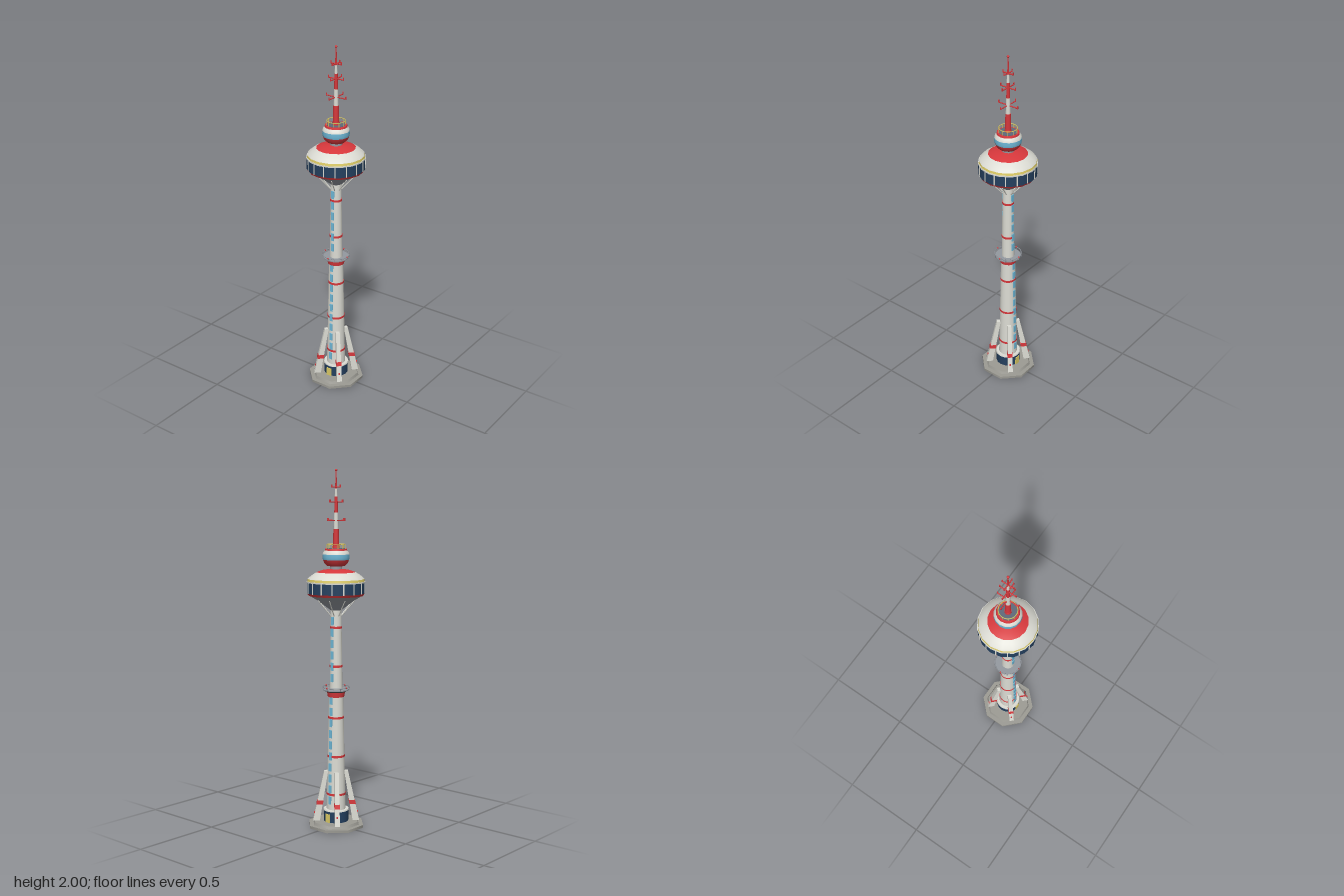
import * as THREE from 'three';

const mat = (name, color) => {
  const m = new THREE.MeshStandardMaterial({ color });
  m.name = name;
  return m;
};

export function createModel() {
  const white = mat('offWhite', 0xdcdcd4), red = mat('signalRed', 0xd8383c);
  const navy = mat('navyGlass', 0x24405f), blue = mat('skyBlue', 0x6fb9d8);
  const yellow = mat('paleYellow', 0xdccb66), grey = mat('steelGrey', 0x9499a0);
  const dark = mat('darkGrey', 0x55585c), slate = mat('slateDeck', 0x5f6a7a);
  const concrete = mat('concrete', 0x9c9b94);

  const model = new THREE.Group();
  model.name = 'observationTower';

  const add = (name, geo, material, parent = model) => {
    const m = new THREE.Mesh(geo, material);
    m.name = name;
    parent.add(m);
    return m;
  };
  // Upright frustum between two heights
  const drum = (name, r0, r1, y0, y1, material, seg = 16, parent = model) => {
    const m = add(name, new THREE.CylinderGeometry(r1, r0, y1 - y0, seg), material, parent);
    m.position.y = (y0 + y1) / 2;
    return m;
  };
  const lathe = (name, pts, material, seg = 16) =>
    add(name, new THREE.LatheGeometry(pts.map(([r, y]) => new THREE.Vector2(r, y)), seg), material);
  // Thin round bar between two points
  const bar = (name, a, b, r, material, parent = model) => {
    const d = b.clone().sub(a);
    const m = add(name, new THREE.CylinderGeometry(r, r, d.length(), 6), material, parent);
    m.position.copy(a).add(b).multiplyScalar(0.5);
    m.quaternion.setFromUnitVectors(new THREE.Vector3(0, 1, 0), d.normalize());
    return m;
  };
  const polar = (r, y, a) => new THREE.Vector3(r * Math.sin(a), y, r * Math.cos(a));
  const railing = (name, r, y0, y1, count, material) => {
    const g = new THREE.Group();
    g.name = name;
    model.add(g);
    const top = add('handrail', new THREE.TorusGeometry(r, 0.0025, 5, 24), material, g);
    top.rotation.x = Math.PI / 2;
    top.position.y = y1;
    for (let i = 0; i < count; i++) {
      const a = (i / count) * Math.PI * 2;
      bar('railPost', polar(r, y0, a), polar(r, y1, a), 0.002, material, g);
    }
  };

  // Octagonal stepped base
  drum('basePlate', 0.162, 0.162, 0, 0.015, concrete, 8).rotation.y = Math.PI / 8;
  drum('baseStep', 0.137, 0.13, 0.015, 0.03, concrete, 8).rotation.y = Math.PI / 8;

  // Entrance hall with a door on each side
  drum('entranceHall', 0.07, 0.07, 0.03, 0.093, navy);
  drum('entranceRoof', 0.073, 0.071, 0.093, 0.1, white);
  for (const s of [-1, 1]) {
    add('door', new THREE.BoxGeometry(0.009, 0.05, 0.03), yellow).position.set(s * 0.069, 0.053, 0);
  }

  // Tapered shaft
  const shaftR = y => (y < 0.78 ? 0.056 - (y / 0.78) * 0.016 : 0.036 - ((y - 0.78) / 0.46) * 0.006);
  drum('lowerShaft', shaftR(0.03), shaftR(0.779), 0.03, 0.78, white);
  drum('upperShaft', shaftR(0.78), shaftR(1.25), 0.78, 1.25, white);
  for (const y of [0.188, 0.407, 0.628, 0.918, 1.135]) {
    drum('shaftBand', shaftR(y) + 0.002, shaftR(y) + 0.002, y - 0.006, y + 0.006, red);
  }
  // Columns of lift windows on both sides
  for (let i = 0; i < 17; i++) {
    const y = 0.155 + i * 0.0635;
    if (y > 0.73 && y < 0.82) continue;
    for (const s of [-1, 1]) {
      add('liftWindow', new THREE.BoxGeometry(0.008, 0.045, 0.018), blue).position.set(s * (shaftR(y) - 0.001), y, 0);
    }
  }

  // Leaning buttress legs on the diagonals
  const legGeo = (y0, y1, grow) => {
    const g = new THREE.BoxGeometry(1, 1, 1);
    const p = g.attributes.position;
    for (let i = 0; i < p.count; i++) {
      const y = p.getY(i) > 0 ? y1 : y0, t = (y - 0.03) / 0.29;
      const width = 0.028 - 0.006 * t + grow, depth = 0.038 - 0.016 * t + grow;
      p.setXYZ(i, p.getX(i) * width, y, 0.112 - 0.056 * t + p.getZ(i) * depth);
    }
    g.computeVertexNormals();
    return g;
  };
  for (let i = 0; i < 4; i++) {
    const leg = new THREE.Group();
    leg.name = 'buttress';
    leg.rotation.y = Math.PI / 4 + (i * Math.PI) / 2;
    model.add(leg);
    add('leg', legGeo(0.03, 0.32, 0), white, leg);
    add('legBand', legGeo(0.125, 0.148, 0.004), red, leg);
    add('legLamp', new THREE.BoxGeometry(0.009, 0.009, 0.006), red, leg).position.set(0, 0.078, 0.122);
  }

  // Mid-height service platform
  drum('platformCollar', 0.046, 0.051, 0.745, 0.775, red);
  drum('platformUnderside', 0.055, 0.07, 0.773, 0.782, dark);
  drum('platformDeck', 0.073, 0.073, 0.782, 0.788, grey);
  railing('platformRailing', 0.076, 0.784, 0.8, 12, grey);
  for (let i = 0; i < 4; i++) {
    add('platformLamp', new THREE.SphereGeometry(0.005, 8, 6), red).position.copy(polar(0.076, 0.8, (i * Math.PI) / 2));
  }

  // Main pod: underside, glazing, roof
  lathe('podUnderside', [[0.03, 1.23], [0.05, 1.245], [0.1, 1.283], [0.15, 1.313]], grey);
  drum('podLowerRing', 0.152, 0.16, 1.311, 1.324, red);
  drum('podGlazing', 0.161, 0.161, 1.324, 1.383, navy);
  drum('podSill', 0.163, 0.163, 1.383, 1.39, white);
  drum('podYellowRing', 0.159, 0.156, 1.39, 1.403, yellow);
  lathe('podRoof', [[0.157, 1.403], [0.147, 1.414], [0.128, 1.428], [0.108, 1.44]], white);
  lathe('podRoofCap', [[0.108, 1.44], [0.075, 1.452], [0.03, 1.458]], red);
  for (let i = 0; i < 16; i++) {
    const a = ((i + 0.5) / 16) * Math.PI * 2;
    const m = add('mullion', new THREE.BoxGeometry(0.006, 0.059, 0.006), white);
    m.position.copy(polar(0.158, 1.3535, a));
    m.rotation.y = a;
  }
  // Struts bracing the pod
  for (let i = 0; i < 8; i++) {
    const a = ((i + 0.5) / 8) * Math.PI * 2;
    bar('podStrut', polar(0.032, 1.2, a), polar(0.108, 1.286, a), 0.003, white);
  }

  // Upper bulb
  drum('bulbNeck', 0.034, 0.034, 1.45, 1.48, grey);
  lathe('bulbBottom', [[0.03, 1.472], [0.05, 1.475], [0.064, 1.488], [0.072, 1.508]], red);
  lathe('bulbWindows', [[0.072, 1.508], [0.075, 1.52], [0.074, 1.538]], blue);
  lathe('bulbTop', [[0.074, 1.538], [0.07, 1.55], [0.06, 1.561]], white);
  drum('bulbRim', 0.062, 0.06, 1.559, 1.568, red);
  drum('bulbDeck', 0.05, 0.05, 1.566, 1.57, slate);
  railing('bulbRailing', 0.05, 1.568, 1.592, 10, yellow);

  // Striped antenna mast
  drum('mastFoot', 0.02, 0.018, 1.568, 1.585, red, 10);
  [
    [0.017, 0.015, 1.57, 1.675, red], [0.013, 0.011, 1.675, 1.765, white],
    [0.01, 0.009, 1.765, 1.85, red], [0.008, 0.006, 1.85, 1.895, white],
    [0.005, 0.003, 1.895, 1.99, red],
  ].forEach(([r0, r1, y0, y1, m]) => drum('mastSection', r0, r1, y0, y1, m, 10));
  add('mastTip', new THREE.SphereGeometry(0.007, 10, 8), red).position.y = 1.993;

  // Crossed aerial arms with upturned ends
  for (const [y, r] of [[1.722, 0.063], [1.822, 0.048], [1.902, 0.033]]) {
    for (let i = 0; i < 4; i++) {
      const a = (i * Math.PI) / 2;
      bar('aerialArm', polar(0, y, a), polar(r, y, a), 0.0033, red);
      bar('aerialTip', polar(r, y - 0.003, a), polar(r, y + 0.013, a), 0.0033, red);
    }
  }
  return model;
}
